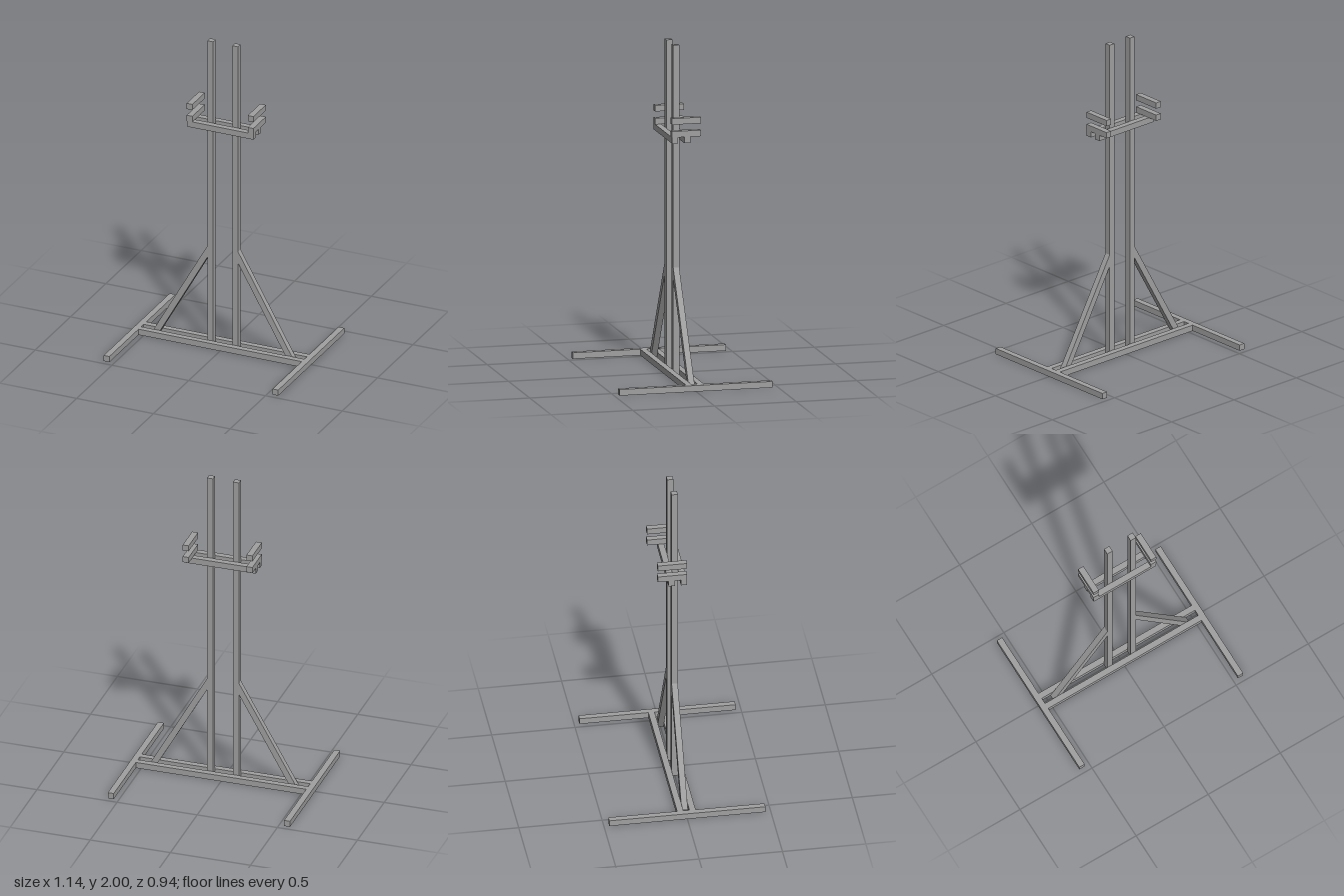
import * as THREE from 'three';

const T = 0.037; // thickness of the square bar stock

export function createModel() {
  const group = new THREE.Group();
  const grey = new THREE.MeshStandardMaterial({ color: 0xa0a0a0 });
  grey.name = 'steel grey';

  // Axis-aligned bar given by its min and max corners
  function bar(name, [x0, y0, z0], [x1, y1, z1]) {
    const mesh = new THREE.Mesh(new THREE.BoxGeometry(x1 - x0, y1 - y0, z1 - z0), grey);
    mesh.position.set((x0 + x1) / 2, (y0 + y1) / 2, (z0 + z1) / 2);
    mesh.name = name;
    group.add(mesh);
  }

  const h = T / 2;

  // Paired bars in front of and behind the posts
  for (const z of [-T, T]) {
    const side = z > 0 ? 'front' : 'back';
    bar(side + 'BaseRail', [-0.532, 0, z - h], [0.532, T, z + h]);
    bar(side + 'Crossbar', [-0.217, 1.43, z - h], [0.217, 1.43 + T, z + h]);
  }

  for (const s of [-1, 1]) {
    const side = s > 0 ? 'left' : 'right';
    const across = (name, x, y0, y1, z0, z1) =>
      bar(side + name, [s * x - h, y0, z0], [s * x + h, y1, z1]);

    across('Foot', 0.55, 0, T, -0.468, 0.468);
    across('Post', 0.081, 0, 2, -h, h);
    across('LowerArm', 0.199, 1.43 + T, 1.43 + 2 * T, -0.12, 0.056);
    across('UpperArm', 0.199, 1.545, 1.545 + T, -0.12, 0.056);

    // Diagonal brace, cut flush with the floor and the post
    const outline = [[0.428, 0], [0.471, 0], [0.0995, 0.655], [0.0995, 0.58]];
    const shape = new THREE.Shape(outline.map(([x, y]) => new THREE.Vector2(s * x, y)));
    const geo = new THREE.ExtrudeGeometry(shape, { depth: T, bevelEnabled: false });
    const brace = new THREE.Mesh(geo.translate(0, 0, -h), grey);
    brace.name = side + 'Brace';
    group.add(brace);
  }

  return group;
}
